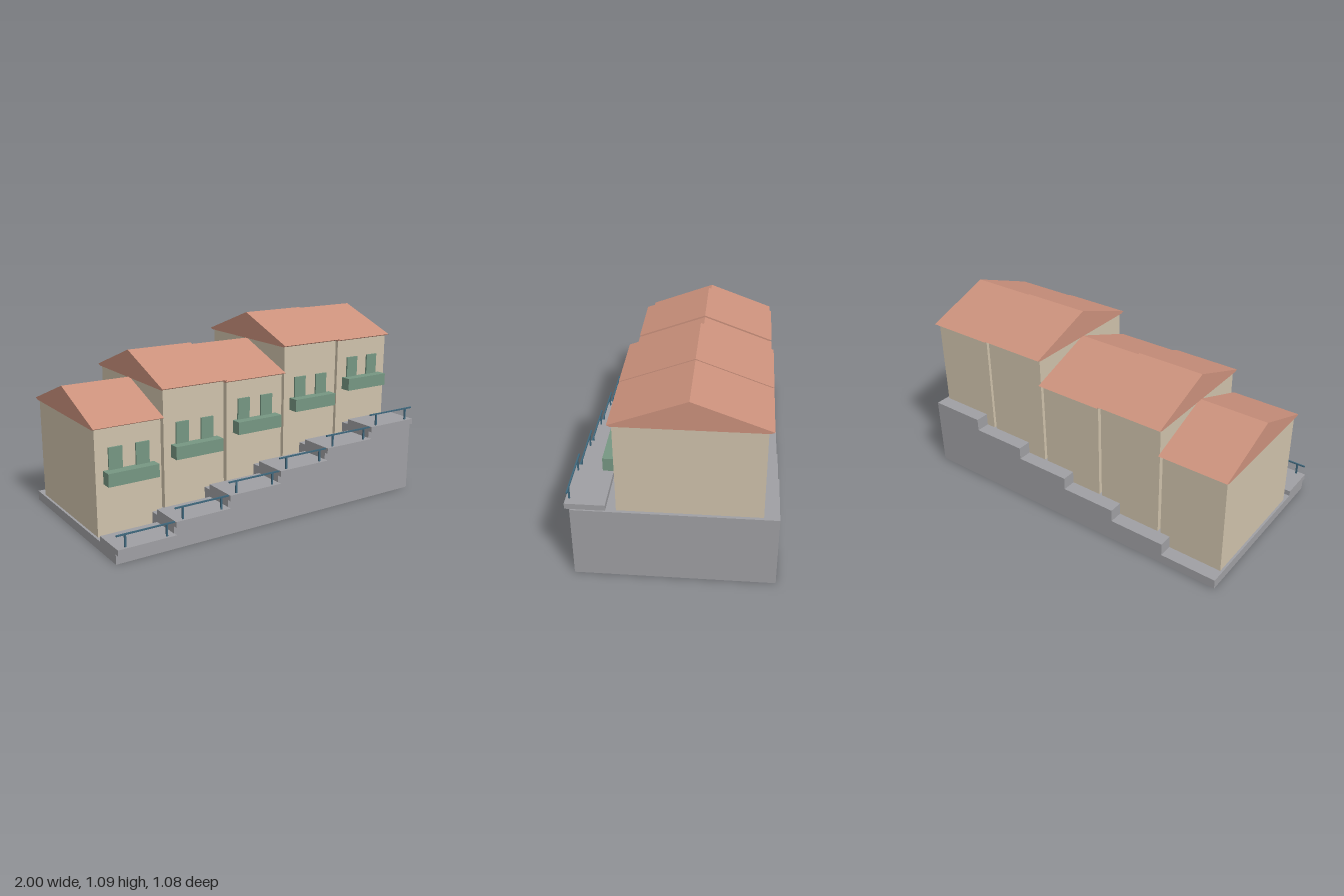
import * as THREE from 'three';

const mat = (name, color) => {
  const m = new THREE.MeshStandardMaterial({ color });
  m.name = name;
  return m;
};

export function createModel() {
  const stone = mat('stone grey', 0x9f9fa3);
  const plaster = mat('plaster', 0xcfc2ab);
  const tile = mat('roof tile', 0xcb917c);
  const green = mat('shutter green', 0x769682);
  const steel = mat('railing blue', 0x3f677c);

  const model = new THREE.Group();
  model.name = 'terracedHouses';

  const add = (parent, name, geometry, material) => {
    const mesh = new THREE.Mesh(geometry, material);
    mesh.name = name;
    parent.add(mesh);
    return mesh;
  };
  // Box given by its lower and upper corners
  const box = (parent, name, material, [x0, y0, z0], [x1, y1, z1]) =>
    add(parent, name, new THREE.BoxGeometry(x1 - x0, y1 - y0, z1 - z0), material)
      .position.set((x0 + x1) / 2, (y0 + y1) / 2, (z0 + z1) / 2);

  // Stepped base, rising towards +x
  const STEPS = 6, RISE = 0.0727;
  const stepTop = i => 0.055 + i * RISE;
  const stepX = i => (i === 0 ? -1 : i === STEPS ? 1 : -1 + i * 0.332);
  const profile = new THREE.Shape().moveTo(1, 0).lineTo(1, stepTop(STEPS - 1));
  for (let i = STEPS - 1; i >= 0; i--) {
    profile.lineTo(stepX(i), stepTop(i));
    profile.lineTo(stepX(i), i > 0 ? stepTop(i - 1) : 0);
  }
  const baseGeo = new THREE.ExtrudeGeometry(profile, { depth: 1.057, bevelEnabled: false });
  baseGeo.translate(0, 0, -0.542);
  add(model, 'steppedBase', baseGeo, stone);

  // Pavement slab and railing on each step
  for (let i = 0; i < STEPS; i++) {
    const terrace = new THREE.Group();
    terrace.name = 'terrace';
    terrace.position.set(-0.832 + i * 0.3315, stepTop(i), 0);
    model.add(terrace);
    box(terrace, 'pavementSlab', stone, [-0.168, 0, 0.334], [0.166, 0.032, 0.542]);
    box(terrace, 'handrail', steel, [-0.166, 0.096, 0.519], [0.166, 0.104, 0.527]);
    for (const x of [-0.118, 0.118])
      box(terrace, 'railingPost', steel, [x - 0.005, 0.03, 0.519], [x + 0.005, 0.098, 0.527]);
  }

  // Gabled roof profile: x stands for -z, extruded along the street
  const gable = new THREE.Shape([
    [-0.285, -0.001], [0.467, -0.001], [0.489, 0.007], [0.09, 0.155], [-0.302, 0.007],
  ].map(p => new THREE.Vector2(...p)));
  const roofGeo = new THREE.ExtrudeGeometry(gable, { depth: 0.404, bevelEnabled: false });
  roofGeo.translate(0, 0, -0.202);
  roofGeo.rotateY(Math.PI / 2);

  // Row of houses
  const wallTops = [0.637, 0.79, 0.78, 0.935, 0.93];
  wallTops.forEach((top, i) => {
    const house = new THREE.Group();
    house.name = 'house';
    house.position.x = -0.797 + i * 0.3975;
    model.add(house);
    box(house, 'walls', plaster, [-0.19, stepTop(i) - 0.02, -0.462], [0.19, top, 0.28]);
    add(house, 'roof', roofGeo, tile).position.y = top;

    const sill = 0.34 + i * RISE;
    box(house, 'balcony', green, [-0.147, sill, 0.275], [0.147, sill + 0.072, 0.342]);
    for (const x of [-0.078, 0.078])
      box(house, 'balconyDoor', green, [x - 0.039, sill + 0.06, 0.275], [x + 0.039, sill + 0.192, 0.29]);
  });

  return model;
}
